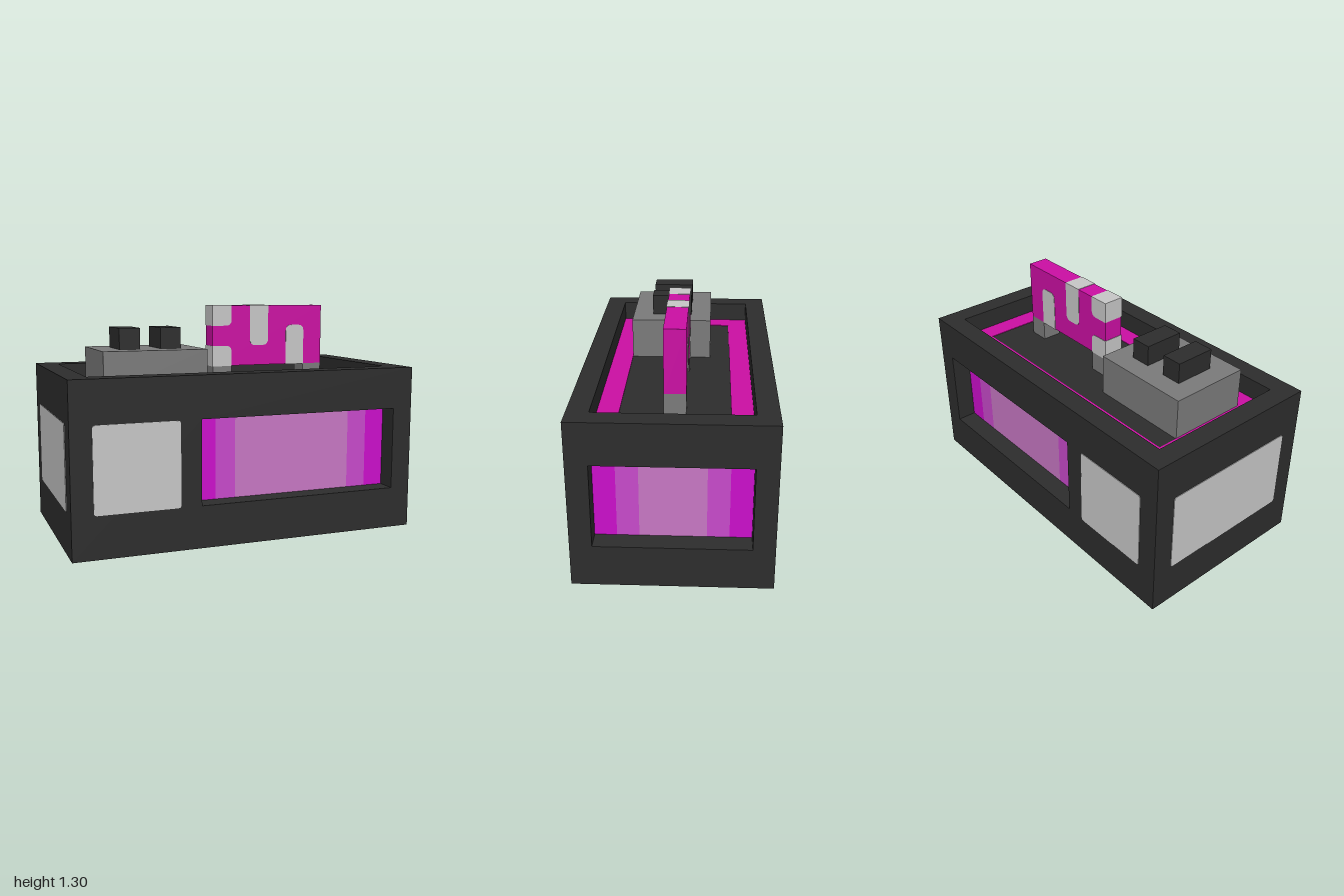
import * as THREE from 'three';

const mat = (name, color) => new THREE.MeshStandardMaterial({ name, color });

export function createModel() {
  const dark = mat('charcoal', 0x2d2d2d);
  const grey = mat('midGrey', 0x7b7b7b);
  const light = mat('lightGrey', 0xc8c8c8);
  const pink = mat('magenta', 0xcc0fa4);
  const glow = [mat('glowDeep', 0xcc0fcc), mat('glowMid', 0xc84acb), mat('glowPale', 0xc878c4)];

  // Built in whole blocks: 17 wide, 9 deep
  const body = new THREE.Group();
  body.name = 'body';
  body.scale.setScalar(2 / 17);
  const T = 0.03; // thickness of painted plates

  const add = (name, geo, material) => {
    const m = new THREE.Mesh(geo, material);
    m.name = name;
    body.add(m);
    return m;
  };
  const box = (name, material, x0, x1, y0, y1, z0, z1) =>
    add(name, new THREE.BoxGeometry(x1 - x0, y1 - y0, z1 - z0)
      .translate((x0 + x1) / 2, (y0 + y1) / 2, (z0 + z1) / 2), material);
  const rect = (x0, x1, y0, y1, C = THREE.Shape) => new C([
    new THREE.Vector2(x0, y0), new THREE.Vector2(x1, y0),
    new THREE.Vector2(x1, y1), new THREE.Vector2(x0, y1)]);
  // Rectangle with a radius per corner: bottom left, bottom right, top right, top left
  const rounded = (x0, x1, y0, y1, [a, b, c, d]) => {
    const s = new THREE.Shape();
    s.moveTo(x0 + a, y0);
    s.lineTo(x1 - b, y0);
    if (b) s.quadraticCurveTo(x1, y0, x1, y0 + b);
    s.lineTo(x1, y1 - c);
    if (c) s.quadraticCurveTo(x1, y1, x1 - c, y1);
    s.lineTo(x0 + d, y1);
    if (d) s.quadraticCurveTo(x0, y1, x0, y1 - d);
    s.lineTo(x0, y0 + a);
    if (a) s.quadraticCurveTo(x0, y0, x0 + a, y0);
    return s;
  };
  const extrude = (shape, depth, z) =>
    new THREE.ExtrudeGeometry(shape, { depth, bevelEnabled: false, curveSegments: 4 }).translate(0, 0, z);

  // Inner core and outer walls
  box('core', dark, -7.5, 7.5, 0, 7, -3.5, 3.5);
  const wall = rect(-8.5, 8.5, 0, 8);
  wall.holes.push(rect(-2.5, 7.5, 2, 6, THREE.Path));
  add('frontWall', extrude(wall, 1, 3.5), dark);
  add('backWall', extrude(wall, 1, -4.5), dark);
  box('leftLowerRail', dark, 7.5, 8.5, 0, 2, -3.5, 3.5);
  box('leftUpperRail', dark, 7.5, 8.5, 6, 8, -3.5, 3.5);
  box('rightWall', dark, -8.5, -7.5, 0, 8, -3.5, 3.5);

  // Light strip around the roof floor
  const ring = rect(-7.5, 7.5, -3.5, 3.5);
  ring.holes.push(rect(-6.5, 6.5, -2.5, 2.5, THREE.Path));
  add('roofLightStrip', extrude(ring, T, 0).rotateX(-Math.PI / 2).translate(0, 7, 0), pink);

  // Banded glowing windows: deep at the ends, pale in the middle
  const bands = [0, 1, 2, 1, 0];
  const longEdges = [-2.5, -1.5, -0.5, 5.5, 6.5, 7.5];
  const sideEdges = [-3.5, -2.5, -1.5, 1.5, 2.5, 3.5];
  bands.forEach((b, i) => {
    const [l0, l1, s0, s1] = [longEdges[i], longEdges[i + 1], sideEdges[i], sideEdges[i + 1]];
    box('frontWindowBand', glow[b], l0, l1, 2, 6, 3.5, 3.5 + T);
    box('backWindowBand', glow[b], l0, l1, 2, 6, -3.5 - T, -3.5);
    box('sideWindowBand', glow[b], 7.5, 7.5 + T, 2, 6, s0, s1);
  });

  // Pale wall panels
  const r4 = [0.15, 0.15, 0.15, 0.15];
  const panel = rounded(-7.5, -3.5, 2, 6, r4);
  add('frontPanel', extrude(panel, T, 4.5), light);
  add('backPanel', extrude(panel, T, -4.5 - T), light);
  add('sidePanel', extrude(rounded(-3.5, 3.5, 2, 6, r4), T, 8.5).rotateY(-Math.PI / 2), light);

  // Roof unit with two vents
  box('roofUnit', grey, -6.5, -1.5, 7, 9, -1.5, 2.5);
  for (const x of [-5.5, -3.5]) box('vent', dark, x, x + 1, 9, 10, -0.5, 1.5);

  // Roof board on two posts, with pale patches running through it
  for (const x of [-0.5, 4.5]) box('boardPost', grey, x, x + 1, 7, 8, -0.5, 0.5);
  box('board', pink, -0.5, 5.5, 8, 11, -0.5, 0.5);
  const e = 0.02, r = 0.3;
  [
    [-0.5 - e, 0.5, 8 - e, 9, [0, 0, r, 0]],
    [-0.5 - e, 0.5, 10, 11 + e, [0, r, 0, 0]],
    [1.5, 2.5, 9, 11 + e, [r, r, 0, 0]],
    [3.5, 4.5, 8 - e, 10, [0, 0, r, r]],
  ].forEach((p) => add('boardPatch', extrude(rounded(...p), 1 + 2 * e, -0.5 - e), light));

  const model = new THREE.Group();
  model.name = 'model';
  model.add(body);
  return model;
}
